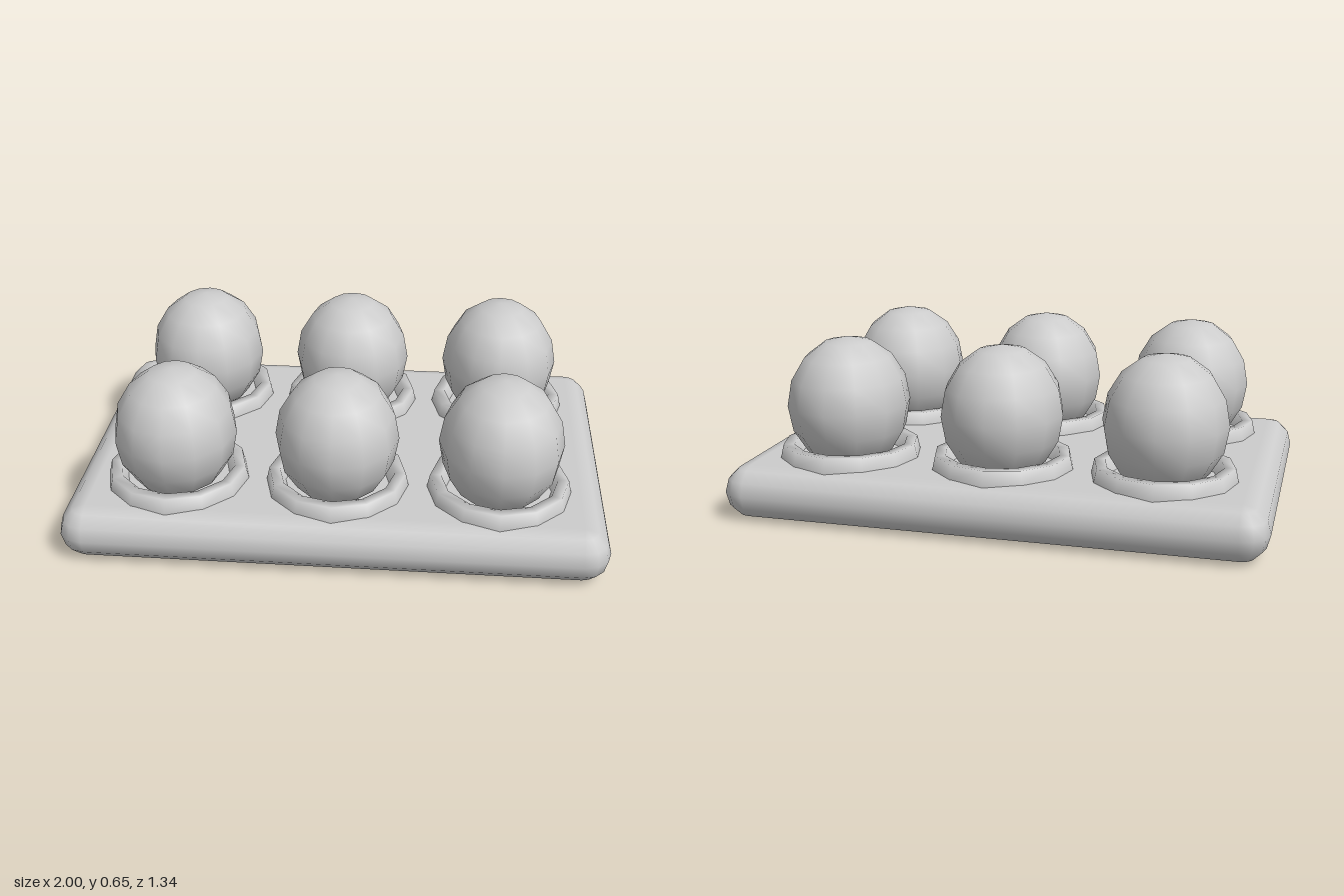
import * as THREE from 'three';

// Rounded slab: a sphere grid whose four quadrants are pushed out to the corners,
// with an extra row at each pole for the flat top and bottom.
function roundedSlab(width, height, depth) {
  const r = height / 2, cols = 16, rows = 8;
  const g = new THREE.SphereGeometry(1, cols, rows);
  const pos = g.attributes.position, nor = g.attributes.normal;
  const signs = [[-1, 1], [1, 1], [1, -1], [-1, -1]];
  for (let iy = 0; iy <= rows; iy++) {
    const phi = THREE.MathUtils.clamp(iy - 1, 0, 6) * Math.PI / 6;
    const centre = iy === 0 || iy === rows;
    for (let ix = 0; ix <= cols; ix++) {
      const i = iy * (cols + 1) + ix;
      const c = ix % cols, q = Math.floor(c / 4);
      const a = q * Math.PI / 2 + (c % 4) * Math.PI / 6;
      const nx = -Math.cos(a) * Math.sin(phi), ny = Math.cos(phi), nz = Math.sin(a) * Math.sin(phi);
      const k = centre ? 0 : 1;
      pos.setXYZ(i,
        k * (signs[q][0] * (width / 2 - r) + nx * r),
        r + ny * r,
        k * (signs[q][1] * (depth / 2 - r) + nz * r));
      nor.setXYZ(i, nx, ny, nz);
    }
  }
  return g;
}

export function createModel() {
  const model = new THREE.Group();
  model.name = 'eggTray';
  const grey = new THREE.MeshStandardMaterial({ color: 0xcccccc });
  grey.name = 'light grey';

  const add = (name, geometry, x = 0, y = 0, z = 0) => {
    const mesh = new THREE.Mesh(geometry, grey);
    mesh.name = name;
    mesh.position.set(x, y, z);
    model.add(mesh);
  };

  // Tray
  add('tray', roundedSlab(2, 0.2, 1.34));

  // Low ring with a softly sloped rim
  const profile = [[0.267, 0.19], [0.266, 0.2], [0.255, 0.25], [0.215, 0.25], [0.19, 0.19]];
  const ring = new THREE.LatheGeometry(profile.map(([x, y]) => new THREE.Vector2(x, y)).reverse(), 12);
  // Lathe faces outward only when the profile runs upward on the outside
  const index = ring.index;
  for (let i = 0; i < index.count; i += 3) {
    const b = index.getX(i + 1);
    index.setX(i + 1, index.getX(i + 2));
    index.setX(i + 2, b);
  }
  const n = ring.attributes.normal;
  for (let i = 0; i < n.count; i++) n.setXYZ(i, -n.getX(i), -n.getY(i), -n.getZ(i));
  // Make the normals follow the outside of the ring
  if (n.getY(2) < 0) for (let i = 0; i < n.count; i++) n.setXYZ(i, -n.getX(i), -n.getY(i), -n.getZ(i));

  // Egg, slightly narrower from side to side
  const egg = new THREE.SphereGeometry(1, 12, 8).scale(0.228, 0.253, 0.248);

  // Two rows of three
  for (const z of [-0.335, 0.335]) {
    for (const x of [-0.6, 0, 0.6]) {
      add('ring', ring, x, 0, z);
      add('egg', egg, x, 0.4, z);
    }
  }
  return model;
}
